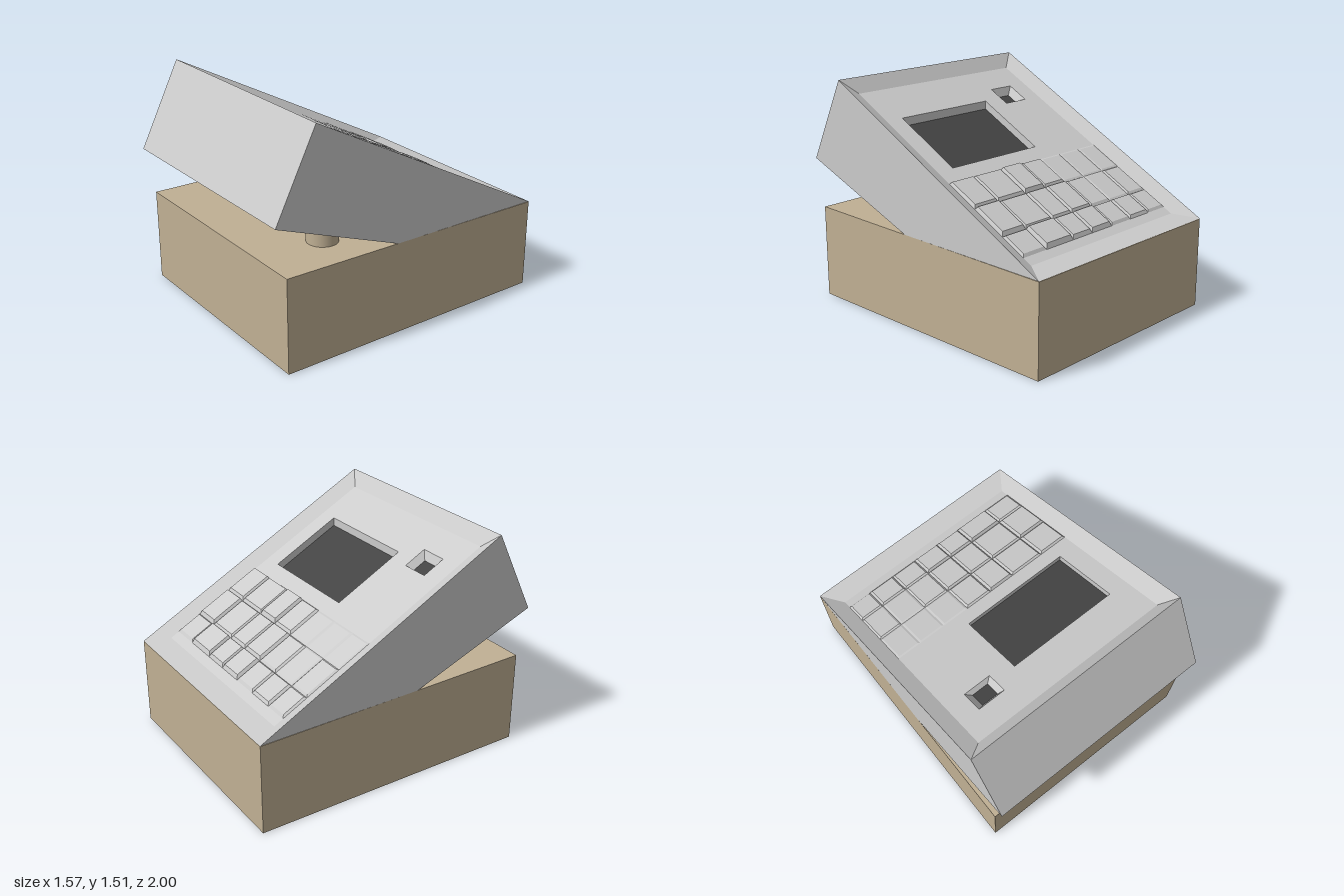
import * as THREE from 'three';

const HALF = 0.785;
const grey = new THREE.MeshStandardMaterial({ color: 0xcccccc, flatShading: true });
const tan = new THREE.MeshStandardMaterial({ color: 0xc0b094, flatShading: true });
const tanSmooth = new THREE.MeshStandardMaterial({ color: 0xc0b094 });
const dark = new THREE.MeshStandardMaterial({ color: 0x444444, flatShading: true });

// Height of the sloping top at depth z
const slope = (z) => 0.605 + (z + 1) * 0.526;
const FLOOR = -0.057; // sunken panel, relative to the slope

// Rectangle lying on the slope, raised or lowered by dy
const ring = (x0, x1, z0, z1, dy) =>
  [[x0, z1], [x1, z1], [x1, z0], [x0, z0]].map(([x, z]) => [x, slope(z) + dy, z]);

// Four quads joining an outer ring to an inner ring
const band = (a, b) => a.map((p, i) => [p, a[(i + 1) % 4], b[(i + 1) % 4], b[i]]);

function quads(list, material, name) {
  const pos = [];
  for (const [a, b, c, d] of list) pos.push(...a, ...b, ...c, ...a, ...c, ...d);
  const geo = new THREE.BufferGeometry();
  geo.setAttribute('position', new THREE.Float32BufferAttribute(pos, 3));
  geo.computeVertexNormals();
  const mesh = new THREE.Mesh(geo, material);
  mesh.name = name;
  return mesh;
}

// Extrude a (z, y) profile across the full width
function acrossWidth(points, material, name) {
  const shape = new THREE.Shape(points.map(([z, y]) => new THREE.Vector2(z, y)));
  const geo = new THREE.ExtrudeGeometry(shape, { depth: 2 * HALF, bevelEnabled: false });
  geo.translate(0, 0, -HALF).rotateY(-Math.PI / 2);
  const mesh = new THREE.Mesh(geo, material);
  mesh.name = name;
  return mesh;
}

export function createModel() {
  const model = new THREE.Group();
  model.name = 'deskTerminal';

  // Base block with a very slightly sloping top
  model.add(acrossWidth([[-1, 0], [0.93, 0], [0.93, 0.625], [-1, 0.602]], tan, 'base'));

  // Two pegs holding up the case
  for (const side of [-1, 1]) {
    const peg = new THREE.Mesh(new THREE.CylinderGeometry(0.102, 0.102, 0.26, 32), tanSmooth);
    peg.position.set(side * 0.48, 0.72, 0.465);
    peg.name = side > 0 ? 'leftPeg' : 'rightPeg';
    model.add(peg);
  }

  // Wedge case: sides, front and underside
  const profile = [[1, 0.95], [0.12, 0.615], [-1, 0.605], [0.72, slope(0.72)]];
  const left = profile.map(([z, y]) => [HALF, y, z]);
  const right = profile.map(([z, y]) => [-HALF, y, z]);
  const strip = (i, j) => [left[i], right[i], right[j], left[j]];
  model.add(quads([left, [...right].reverse(), strip(0, 1), strip(1, 2), strip(3, 0)], grey, 'case'));

  // Rim sloping down to the sunken panel
  const inner = [-0.68, 0.68, -0.845, 0.65];
  model.add(quads(band(ring(-HALF, HALF, -1, 0.72, 0), ring(...inner, FLOOR)), grey, 'rim'));

  // Panel with openings for the screen and the small window
  const screen = [-0.2, 0.55, -0.075, 0.385];
  const windowOuter = [-0.54, -0.35, 0.33, 0.475];
  const corners = ([x0, x1, z0, z1]) =>
    [[x0, z0], [x1, z0], [x1, z1], [x0, z1]].map(([x, z]) => new THREE.Vector2(x, -z));
  const shape = new THREE.Shape(corners(inner));
  shape.holes.push(new THREE.Path(corners(screen)), new THREE.Path(corners(windowOuter)));
  const panelGeo = new THREE.ShapeGeometry(shape).rotateX(-Math.PI / 2);
  const p = panelGeo.attributes.position;
  for (let i = 0; i < p.count; i++) p.setY(i, slope(p.getZ(i)) + FLOOR);
  panelGeo.computeVertexNormals();
  const panel = new THREE.Mesh(panelGeo, grey);
  panel.name = 'panel';
  model.add(panel);

  // Recesses: walls and dark bottoms
  const recess = (outer, bottom, depth, name) => {
    const low = ring(...bottom, FLOOR - depth);
    model.add(quads(band(ring(...outer, FLOOR), low), grey, name + 'Walls'));
    model.add(quads([low], dark, name));
  };
  recess(screen, screen, 0.055, 'screen');
  recess(windowOuter, [-0.5, -0.385, 0.355, 0.455], 0.05, 'window');

  // Keys in three rows, each standing at its own height
  const xs = [-0.68, -0.51, -0.32, -0.13, 0.06, 0.24, 0.48, 0.68];
  const zs = [-0.785, -0.62, -0.395, -0.18];
  const heights = [
    [0.012, 0.016, 0.014, 0.024, 0.022, 0.028, 0.014],
    [0.01, 0.006, 0.012, 0.02, 0.018, 0.016, 0.024],
    [0.005, 0.004, 0.005, 0.016, 0.026, 0.018, 0.02],
  ];
  const keys = new THREE.Group();
  keys.name = 'keys';
  heights.forEach((row, r) => row.forEach((h, c) => {
    const [x0, x1, z0, z1] = [xs[c], xs[c + 1], zs[r], zs[r + 1]];
    const top = ring(x0 + 0.013, x1 - 0.013, z0 + 0.011, z1 - 0.013, FLOOR + h);
    keys.add(quads([...band(ring(x0, x1, z0, z1, FLOOR), top), top], grey, 'key'));
  }));
  model.add(keys);

  return model;
}
